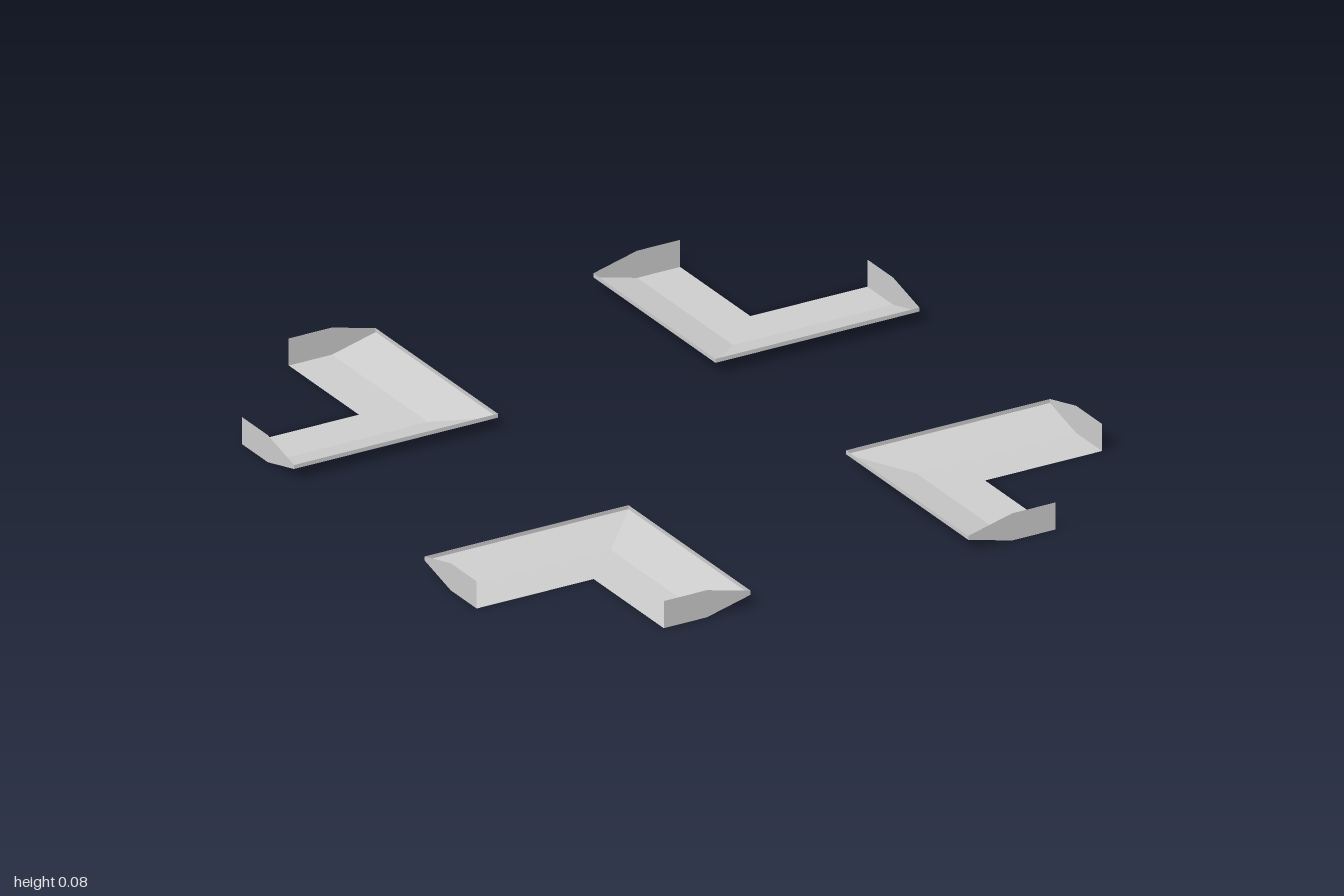
import * as THREE from 'three';

// Shell cross-section as [distance from centre line, height]: floor, bevel, thin nose
const SHELL = [[0.626, 0], [0.488, 0], [0.348, 0.035], [0.348, 0.047]];
// Closed cross-section of the end plates
const CAP = [...SHELL, [0.488, 0.082], [0.626, 0.082]];

// L-shaped open tray, mitred at the inner corner
function trayGeometry() {
  const stations = [
    ([d, y]) => [1, y, d],
    ([d, y]) => [d, y, d],
    ([d, y]) => [d, y, 1],
  ];
  const positions = [];
  for (let s = 0; s < 2; s++) {
    for (let i = 0; i < SHELL.length - 1; i++) {
      const a = stations[s](SHELL[i]);
      const b = stations[s](SHELL[i + 1]);
      const c = stations[s + 1](SHELL[i + 1]);
      const e = stations[s + 1](SHELL[i]);
      positions.push(...a, ...e, ...c, ...a, ...c, ...b);
    }
  }
  const g = new THREE.BufferGeometry();
  g.setAttribute('position', new THREE.Float32BufferAttribute(positions, 3));
  g.computeVertexNormals();
  return g;
}

// Flat end plate, optionally mirrored across x
function capGeometry(sign) {
  const points = CAP.map(([d, y]) => new THREE.Vector2(sign * d, y));
  return new THREE.ShapeGeometry(new THREE.Shape(points));
}

export function createModel() {
  const model = new THREE.Group();
  model.name = 'cornerBrackets';
  const grey = new THREE.MeshStandardMaterial({ color: 0xcccccc, side: THREE.DoubleSide });
  grey.name = 'lightGrey';

  const tray = trayGeometry();
  const capZ = capGeometry(1).translate(0, 0, 1);
  const capX = capGeometry(-1).rotateY(Math.PI / 2).translate(1, 0, 0);

  // Four identical corners, a quarter turn apart
  for (let k = 0; k < 4; k++) {
    const corner = new THREE.Group();
    corner.name = 'corner' + (k + 1);
    for (const [name, geometry] of [['tray', tray], ['endPlateA', capZ], ['endPlateB', capX]]) {
      const mesh = new THREE.Mesh(geometry, grey);
      mesh.name = name;
      corner.add(mesh);
    }
    corner.rotation.y = (k * Math.PI) / 2;
    model.add(corner);
  }
  return model;
}
